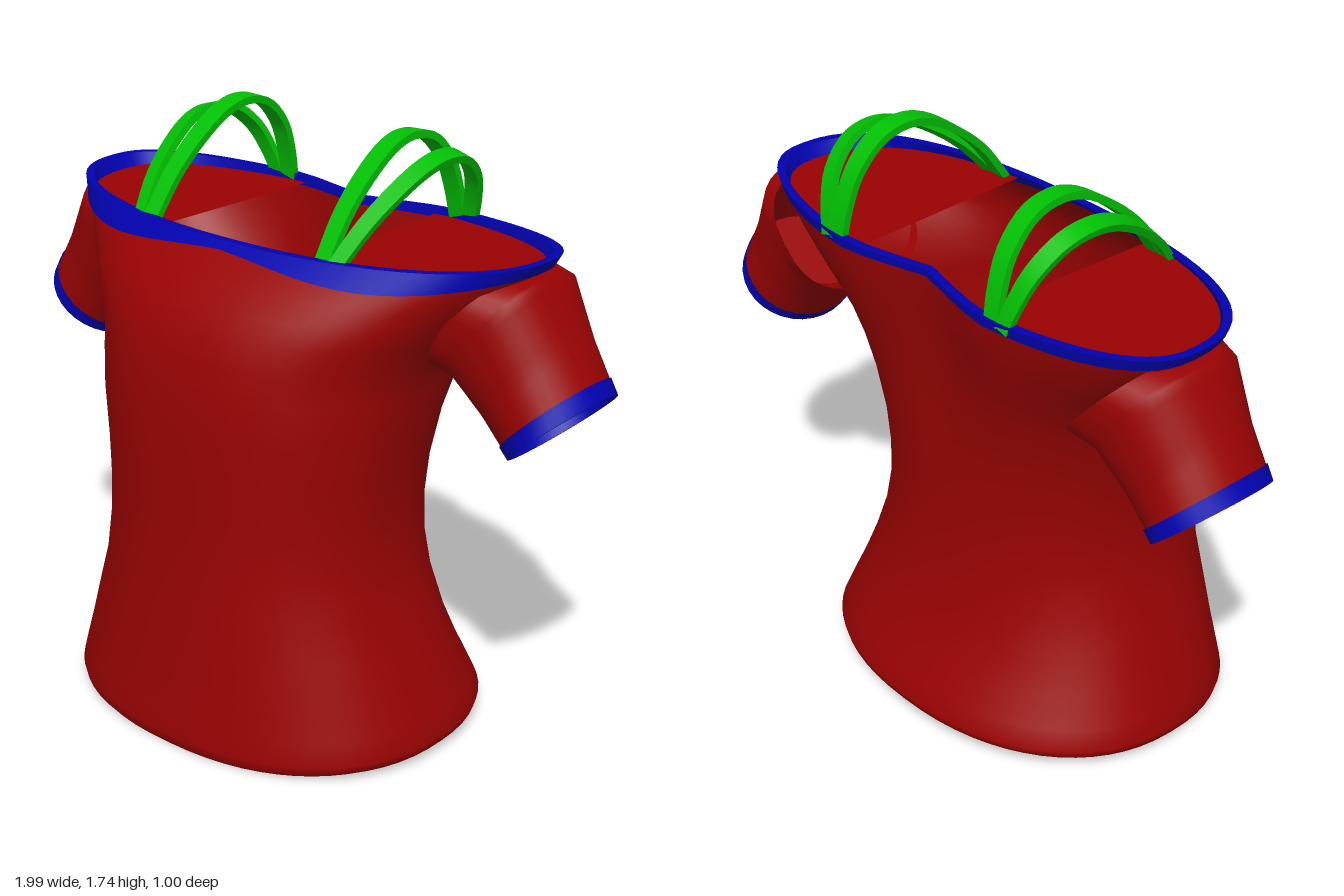
import * as THREE from 'three';
import { toCreasedNormals } from 'three/addons/utils/BufferGeometryUtils.js';

const { lerp, smoothstep } = THREE.MathUtils;
const TAU = Math.PI * 2;
const SIDES = 64;

const flat = (name, color) => {
  const m = new THREE.MeshStandardMaterial({ color, side: THREE.DoubleSide });
  m.name = name;
  return m;
};

// Signed power, for squared-off ellipses
const spow = (v, e) => Math.sign(v) * Math.abs(v) ** e;

// Torso sections: height, half width, front z, back z, z of the widest point
const SECTIONS = [
  [0.02, 0.595, 0.485, -0.475, 0],
  [0.035, 0.622, 0.496, -0.492, 0],
  [0.06, 0.63, 0.5, -0.497, 0],
  [0.12, 0.61, 0.49, -0.47, 0.01],
  [0.2, 0.58, 0.48, -0.435, 0.02],
  [0.32, 0.54, 0.468, -0.385, 0.03],
  [0.45, 0.495, 0.458, -0.355, 0.04],
  [0.58, 0.472, 0.45, -0.335, 0.05],
  [0.7, 0.468, 0.448, -0.33, 0.05],
  [0.83, 0.478, 0.448, -0.332, 0.04],
  [0.97, 0.503, 0.446, -0.345, 0.02],
  [1.08, 0.525, 0.44, -0.36, -0.03],
  [1.17, 0.552, 0.425, -0.378, -0.08],
  [1.25, 0.618, 0.4, -0.395, -0.12],
  [1.31, 0.67, 0.362, -0.408, -0.14],
  [1.36, 0.718, 0.32, -0.418, -0.15],
  [1.41, 0.772, 0.267, -0.425, -0.15],
  [1.455, 0.805, 0.225, -0.43, -0.15],
];

// Point on the torso at angle t and height y, pushed outwards by off
function torsoPoint(t, y, off = 0) {
  let i = 0;
  while (i < SECTIONS.length - 2 && y > SECTIONS[i + 1][0]) i++;
  const a = SECTIONS[i], b = SECTIONS[i + 1];
  const f = Math.min(1, (y - a[0]) / (b[0] - a[0]));
  const [, hw, zf, zb, zc] = a.map((v, k) => lerp(v, b[k], f));
  const c = Math.cos(t), s = Math.sin(t);
  // fuller than an ellipse, most of all across the shoulder blades
  const e = s > 0 ? 0.87 : lerp(0.9, 0.8, smoothstep(y, 0.3, 1.2));
  const x = hw * spow(c, e);
  let z = zc + (s > 0 ? zf - zc : zb - zc) * Math.abs(s) ** e;
  // hollow down the middle of the upper back
  if (s < 0) z += 0.07 * smoothstep(y, 0.7, 1.45) * Math.max(0, 1 - Math.abs(x) / 0.27);
  // sloping hem and slightly raised shoulders
  const yy = y - 0.04 * z * (1 - smoothstep(y, 0.02, 0.35))
    + 0.02 * (x / 0.8) ** 2 * smoothstep(y, 1.3, 1.455);
  return new THREE.Vector3(x + off * c, yy, z + off * s);
}

// Skin over closed rings of equal point count
function loft(rings) {
  const n = rings[0].length, pos = [], idx = [];
  rings.forEach((r) => r.forEach((p) => pos.push(p.x, p.y, p.z)));
  for (let i = 0; i < rings.length - 1; i++) {
    for (let j = 0; j < n; j++) {
      const k = (j + 1) % n;
      const a = i * n + j, b = i * n + k, c = a + n, d = b + n;
      idx.push(a, c, b, b, c, d);
    }
  }
  const g = new THREE.BufferGeometry();
  g.setAttribute('position', new THREE.Float32BufferAttribute(pos, 3));
  g.setIndex(idx);
  g.computeVertexNormals();
  return g;
}

const ring = (n, fn) => Array.from({ length: n }, (_, j) => fn((j / n) * TAU));

// Sleeve sections from shoulder to cuff: centre x, y, half span x, y, half depth, squareness
const SLEEVE = [
  [0.615, 1.295, 0.13, 0.145, 0.225, 0.75],
  [0.7, 1.275, 0.115, 0.155, 0.208, 0.8],
  [0.79, 1.145, 0.115, 0.128, 0.186, 0.93],
  [0.875, 1.025, 0.115, 0.105, 0.183, 1],
];
function sleeveRing(u, grow = 1) {
  const i = Math.min(2, Math.floor(u * 3));
  const [cx, cy, hx, hy, hz, e] = SLEEVE[i].map((v, k) => lerp(v, SLEEVE[i + 1][k], u * 3 - i));
  return ring(32, (t) => {
    const c = grow * spow(Math.cos(t), e), s = grow * spow(Math.sin(t), e);
    return new THREE.Vector3(cx + hx * c, cy + hy * c, -0.155 - hz * s);
  });
}

// Flat ribbon arching from the front of the neckline to the back
function strapGeometry(baseX, lean, height, halfWidth) {
  const curve = new THREE.CatmullRomCurve3([
    [0.19, 0], [0.1, 0.42], [0, 0.73], [-0.1, 0.94], [-0.18, 1],
    [-0.27, 0.93], [-0.35, 0.66], [-0.39, 0.32], [-0.41, 0],
  ].map(([z, h]) => new THREE.Vector3(baseX + lean * h, 1.44 + height * h, z)));
  const side = new THREE.Vector3(height, -lean, 0).normalize();
  const rings = [];
  for (let i = 0; i <= 28; i++) {
    const u = i / 28, p = curve.getPoint(u);
    const normal = new THREE.Vector3().crossVectors(side, curve.getTangent(u)).normalize();
    if (normal.y < 0) normal.negate();
    const w = halfWidth * (0.8 + 0.2 * Math.sin(Math.PI * u));
    rings.push(ring(4, (t) => p.clone()
      .addScaledVector(normal, 0.011 * Math.SQRT2 * Math.cos(t + Math.PI / 4))
      .addScaledVector(side, -w * Math.SQRT2 * Math.sin(t + Math.PI / 4))));
  }
  return toCreasedNormals(loft(rings), 0.7);
}

export function createModel() {
  const red = flat('red cloth', 0x9a0202);
  const blue = flat('blue trim', 0x0202b0);
  const green = flat('green strap', 0x02c004);
  const model = new THREE.Group();
  model.name = 'shirt';
  const add = (parent, name, geometry, material) => {
    const m = new THREE.Mesh(geometry, material);
    m.name = name;
    parent.add(m);
  };

  // Torso
  add(model, 'torso', loft(SECTIONS.map(([y]) => ring(SIDES, (t) => torsoPoint(t, y)))), red);

  // Closed underside
  const hem = ring(SIDES, (t) => torsoPoint(t, 0.02));
  const middle = hem.map(() => new THREE.Vector3(0, 0.02, 0));
  add(model, 'underside', loft([middle, hem]), red);

  // Neckline trim, deeper towards the front of the shoulders
  const trimRow = (off, top) => ring(SIDES, (t) => {
    const x = Math.abs(Math.cos(t));
    const dip = Math.sin(t) > 0 ? 0.03 : 0.006;
    const low = 1.437 - dip * Math.sin(Math.PI * x ** 1.2) - 0.012 * x;
    const p = torsoPoint(t, top ? 1.455 : low, off);
    if (top) p.y += 0.003;
    return p;
  });
  add(model, 'necklineTrim', toCreasedNormals(loft([
    trimRow(0.006, false), trimRow(0.006, true), trimRow(-0.02, true), trimRow(-0.02, false),
  ]), 0.7), blue);

  // One side, mirrored for the other
  const half = new THREE.Group();
  half.name = 'leftSide';
  const us = Array.from({ length: 19 }, (_, i) => i / 18);
  add(half, 'sleeve', loft(us.map((u) => sleeveRing(u))), red);
  add(half, 'sleeveLining', loft([sleeveRing(0.9, 0.95), sleeveRing(0.9, 0.001)]), red);
  add(half, 'cuff', toCreasedNormals(loft([
    sleeveRing(0.9, 1.025), sleeveRing(1, 1.025), sleeveRing(1, 0.94), sleeveRing(0.9, 0.94),
  ]), 0.7), blue);

  // Flat shoulder panel just under the rim
  const outline = [];
  for (let i = 0; i <= 32; i++) {
    const p = torsoPoint(lerp(-1.34, 1.28, i / 32), 1.44, -0.006);
    outline.push(new THREE.Vector2(p.x, -p.z));
  }
  const panel = new THREE.ShapeGeometry(new THREE.Shape(outline));
  panel.rotateX(-Math.PI / 2).translate(0, 1.442, 0);
  add(half, 'shoulderPanel', panel, red);

  // Pair of straps
  add(half, 'innerStrap', strapGeometry(0.318, -0.012, 0.288, 0.031), green);
  add(half, 'outerStrap', strapGeometry(0.358, 0.074, 0.245, 0.027), green);
  model.add(half);

  const other = half.clone();
  other.name = 'rightSide';
  other.scale.x = -1;
  model.add(other);
  return model;
}
